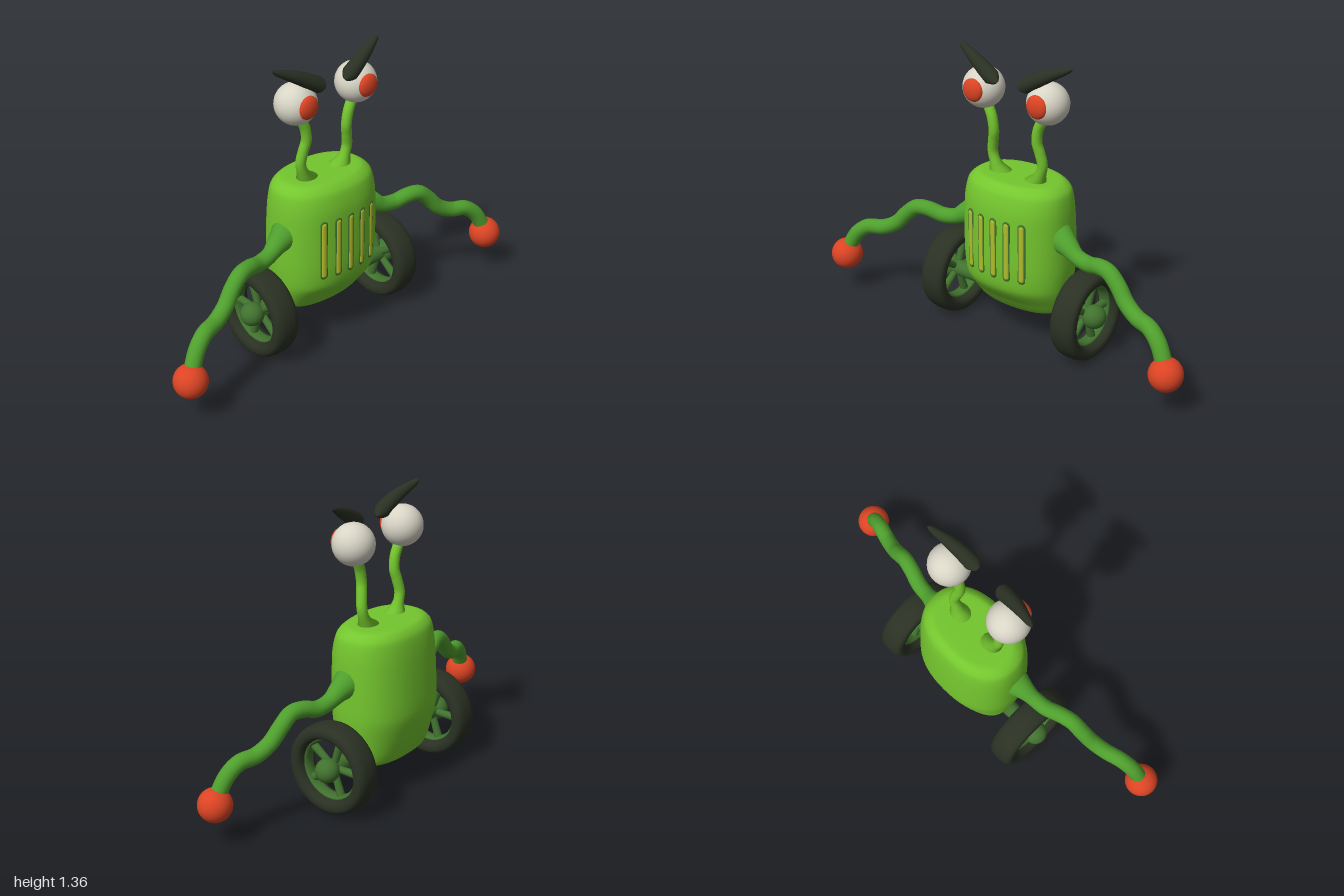
import * as THREE from 'three';
import { mergeVertices } from 'three/addons/utils/BufferGeometryUtils.js';

const mat = (name, color, side = THREE.FrontSide) => {
  const m = new THREE.MeshStandardMaterial({ color, side });
  m.name = name;
  return m;
};

// Body sections: half width, y, front z, back z
const SECTIONS = [
  [0, 0.16, -0.05, -0.05], [0.17, 0.16, 0.03, -0.14], [0.225, 0.175, 0.05, -0.17],
  [0.245, 0.22, 0.085, -0.19], [0.26, 0.3, 0.145, -0.215], [0.27, 0.4, 0.16, -0.235],
  [0.27, 0.55, 0.16, -0.23], [0.265, 0.68, 0.155, -0.22], [0.25, 0.76, 0.135, -0.205],
  [0.21, 0.795, 0.1, -0.175], [0.15, 0.8, 0.06, -0.13], [0, 0.8, -0.035, -0.035],
];
const POWER = 2.3;

// Rounded body: a lathe whose rings become uneven superellipses
function bodyGeometry() {
  const curve = (k) => new THREE.CatmullRomCurve3(
    SECTIONS.map((s) => new THREE.Vector3(s[0], s[1], s[k])), false, 'catmullrom', 0.4);
  const rows = 66, cols = 64;
  const front = curve(2).getPoints(rows), back = curve(3).getPoints(rows);
  const geo = new THREE.LatheGeometry(
    front.map((p) => new THREE.Vector2(Math.max(p.x, 0), p.y)), cols);
  const pos = geo.attributes.position;
  const round = (v) => Math.sign(v) * Math.abs(v) ** (2 / POWER);
  for (let i = 0; i < pos.count; i++) {
    const a = (Math.floor(i / (rows + 1)) / cols) * Math.PI * 2;
    const f = front[i % (rows + 1)], b = back[i % (rows + 1)];
    const mid = (f.z + b.z) / 2, depth = (f.z - b.z) / 2;
    pos.setXYZ(i, Math.max(f.x, 0) * round(Math.sin(a)), f.y, mid + depth * round(Math.cos(a)));
  }
  geo.deleteAttribute('normal');
  geo.deleteAttribute('uv');
  const merged = mergeVertices(geo, 1e-5);
  merged.computeVertexNormals();
  return merged;
}

// Tube along a smooth path with a varying radius
function taperedTube(points, radiusAt, segments = 48, sides = 18) {
  const curve = new THREE.CatmullRomCurve3(points.map((p) => new THREE.Vector3(...p)));
  const geo = new THREE.TubeGeometry(curve, segments, 1, sides);
  const pos = geo.attributes.position, v = new THREE.Vector3();
  for (let i = 0; i < pos.count; i++) {
    const t = Math.floor(i / (sides + 1)) / segments;
    const c = curve.getPointAt(t);
    v.fromBufferAttribute(pos, i).sub(c).multiplyScalar(radiusAt(t)).add(c);
    pos.setXYZ(i, v.x, v.y, v.z);
  }
  return geo;
}

function tyreGeometry() {
  const round = (v) => Math.sign(v) * Math.abs(v) ** 0.75;
  const profile = [];
  for (let i = 0; i <= 28; i++) {
    const a = (i / 28) * Math.PI * 2;
    profile.push(new THREE.Vector2(0.175 + 0.035 * round(Math.cos(a)), 0.064 * round(Math.sin(a))));
  }
  return new THREE.LatheGeometry(profile, 56).rotateZ(Math.PI / 2);
}

export function createModel() {
  const model = new THREE.Group();
  const green = mat('body green', 0x74c62e);
  const limb = mat('limb green', 0x4f9f2d);
  const dark = mat('wheel green', 0x41722f);
  const black = mat('tyre black green', 0x2a3123);
  const red = mat('red', 0xdc4424);
  const white = mat('eye white', 0xd8d5c6);
  const yellow = mat('grille yellow', 0xb0bc2c);

  const add = (parent, name, geo, material, x = 0, y = 0, z = 0) => {
    const mesh = new THREE.Mesh(geo, material);
    mesh.name = name;
    mesh.position.set(x, y, z);
    parent.add(mesh);
    return mesh;
  };

  add(model, 'body', bodyGeometry(), green);

  // Grille: five upright bars, each in a dark slot
  const grille = new THREE.Group();
  grille.name = 'grille';
  model.add(grille);
  for (let i = -2; i <= 2; i++) {
    const x = i * 0.0715;
    const z = -0.036 + 0.195 * (1 - Math.abs(x / 0.27) ** POWER) ** (1 / POWER);
    const turn = Math.atan2(x * 0.5, 0.27);
    const slot = add(grille, 'grilleSlot', new THREE.CapsuleGeometry(0.019, 0.255, 6, 16), dark, x, 0.505, z);
    slot.scale.z = 0.25;
    slot.rotation.y = turn;
    const bar = add(grille, 'grilleBar', new THREE.CapsuleGeometry(0.0135, 0.25, 6, 16), yellow, x, 0.505, z + 0.001);
    bar.scale.z = 0.55;
    bar.rotation.y = turn;
  }

  // Axle
  add(model, 'axle', new THREE.CylinderGeometry(0.038, 0.038, 0.86, 24).rotateZ(Math.PI / 2), dark, 0, 0.215, -0.037);

  const tyre = tyreGeometry();
  for (const s of [-1, 1]) {
    const side = s > 0 ? 'left' : 'right';

    // Wheel with five spokes
    const wheel = new THREE.Group();
    wheel.name = side + 'Wheel';
    wheel.position.set(s * 0.377, 0.215, -0.037);
    model.add(wheel);
    add(wheel, 'tyre', tyre, black);
    const rim = add(wheel, 'rim', new THREE.TorusGeometry(0.141, 0.012, 12, 56).rotateY(Math.PI / 2), dark);
    rim.scale.x = 2.5;
    add(wheel, 'hub', new THREE.SphereGeometry(0.055, 28, 20), dark, s * 0.042);
    for (let i = 0; i < 5; i++) {
      const spoke = add(wheel, 'spoke',
        new THREE.CylinderGeometry(0.02, 0.015, 0.14, 12).translate(0, 0.07, 0), dark);
      spoke.rotation.x = -Math.PI / 2 + (i * Math.PI * 2) / 5;
    }

    // Wavy arm with a flared shoulder and a ball hand
    const arm = [
      [0.225, 0.57, -0.015], [0.29, 0.54, -0.005], [0.35, 0.507, 0.005], [0.42, 0.497, 0.015],
      [0.49, 0.515, 0.035], [0.55, 0.513, 0.05], [0.605, 0.47, 0.06], [0.66, 0.41, 0.075],
      [0.73, 0.373, 0.095], [0.81, 0.362, 0.12], [0.865, 0.32, 0.138], [0.905, 0.25, 0.153], [0.92, 0.21, 0.16],
    ].map(([x, y, z]) => [s * x, y, z]);
    add(model, side + 'Arm',
      taperedTube(arm, (t) => 0.037 + 0.04 * Math.max(0, 1 - t / 0.16) ** 1.5, 80), limb);
    add(model, side + 'Hand', new THREE.SphereGeometry(0.076, 32, 24), red, s * 0.923, 0.2, 0.16);

    // Eye stalk
    const stalk = [
      [0.1, 0.775, -0.02], [0.122, 0.82, -0.018], [0.139, 0.88, -0.016], [0.13, 0.94, -0.008],
      [0.12, 0.99, 0], [0.128, 1.05, 0.002], [0.15, 1.1, 0], [0.17, 1.15, 0],
    ].map(([x, y, z]) => [s * x, y, z]);
    add(model, side + 'EyeStalk',
      taperedTube(stalk, (t) => 0.024 + 0.035 * Math.max(0, 1 - t / 0.2) ** 1.5), green);

    // Eyeball and pupil
    add(model, side + 'Eye', new THREE.SphereGeometry(0.095, 36, 26), white, s * 0.177, 1.182, -0.002);
    const pupil = add(model, side + 'Pupil', new THREE.SphereGeometry(0.053, 28, 20), red, s * 0.175, 1.186, 0.075);
    pupil.scale.z = 0.5;

    // Slanted brow, thick inside and thin outside
    const brow = [
      [0.06, 1.238, 0.052], [0.12, 1.275, 0.046], [0.2, 1.317, 0.03], [0.305, 1.362, 0],
    ].map(([x, y, z]) => [s * x, y, z]);
    const browRadius = (t) =>
      (0.037 - 0.027 * t * t) * Math.min(1, Math.sqrt(t / 0.13), Math.sqrt((1 - t) / 0.06));
    add(model, side + 'Brow', taperedTube(brow, browRadius, 60), black);
  }
  return model;
}
